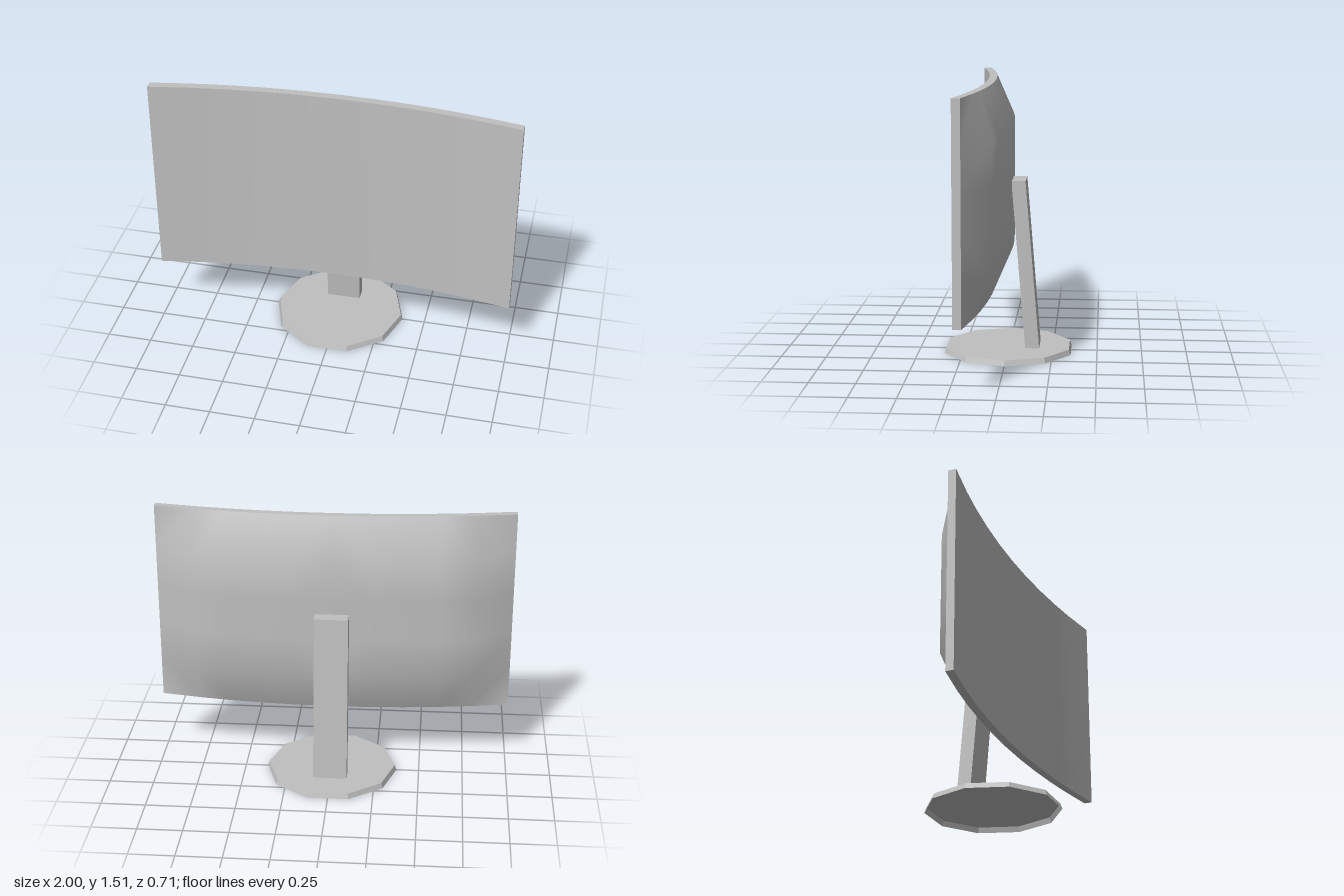
import * as THREE from 'three';

const grey = new THREE.MeshStandardMaterial({ color: 0xc0c0c0, side: THREE.DoubleSide });
grey.name = 'grey plastic';

const xs = [-1, -0.77, -0.6, -0.4, -0.2, 0, 0.2, 0.4, 0.6, 0.77, 1];
const ys = [0.36, 0.59, 0.82, 1.05, 1.285, 1.515];
const curve = x => 0.12 + 0.096 * x * x; // depth of the screen face across its width
const RIM = 0.045, BULGE = 0.1;

function mesh(name, geometry) {
  const m = new THREE.Mesh(geometry, grey);
  m.name = name;
  return m;
}

function build(points, index) {
  const g = new THREE.BufferGeometry();
  g.setAttribute('position', new THREE.Float32BufferAttribute(points.flat(), 3));
  g.setIndex(index);
  g.computeVertexNormals();
  return g;
}

// A sheet over the columns and rows; corner cells are cut across the corner
function sheet(us, vs, depth, back) {
  const points = [], index = [], nx = us.length, ny = vs.length;
  vs.forEach((y, j) => us.forEach((x, i) => {
    const edge = i === 0 || j === 0 || i === nx - 1 || j === ny - 1;
    points.push([x, y, depth(x, edge)]);
  }));
  for (let j = 0; j < ny - 1; j++) {
    for (let i = 0; i < nx - 1; i++) {
      const a = j * nx + i, b = a + 1, d = a + nx, c = d + 1;
      const sameSide = (i < nx / 2 - 1) === (j < ny / 2 - 1);
      const tris = sameSide ? [[a, b, d], [b, c, d]] : [[a, b, c], [a, c, d]];
      tris.forEach(([p, q, r]) => index.push(...(back ? [p, r, q] : [p, q, r])));
    }
  }
  return build(points, index);
}

// A strip of the rim along a list of [x, y] points
function rimStrip(path) {
  const points = [], index = [];
  path.forEach(([x, y], i) => {
    points.push([x, y, curve(x)], [x, y, curve(x) - RIM]);
    const k = i * 2;
    if (i) index.push(k - 2, k - 1, k, k, k - 1, k + 1);
  });
  return build(points, index);
}

function createModel() {
  const model = new THREE.Group();
  model.name = 'curvedMonitor';

  // Display: curved face, bulged back and four rim strips
  const display = new THREE.Group();
  display.name = 'display';
  display.add(mesh('screen', sheet(xs, [ys[0], ys[5]], x => curve(x), false)));
  display.add(mesh('backShell', sheet(xs, ys, (x, edge) => curve(x) - RIM - (edge ? 0 : BULGE), true)));
  const right = [...xs].reverse();
  display.add(mesh('topRim', rimStrip(right.map(x => [x, ys[5]]))));
  display.add(mesh('bottomRim', rimStrip(xs.map(x => [x, ys[0]]))));
  display.add(mesh('leftRim', rimStrip([[1, ys[0]], [1, ys[5]]])));
  display.add(mesh('rightRim', rimStrip([[-1, ys[5]], [-1, ys[0]]])));
  model.add(display);

  // Leaning post: an upright box sheared forward
  const H = 0.945;
  const post = new THREE.BoxGeometry(0.19, H, 0.078);
  post.translate(0, H / 2 + 0.03, -0.138);
  const p = post.attributes.position;
  for (let i = 0; i < p.count; i++) p.setZ(i, p.getZ(i) + 0.078 * (p.getY(i) - 0.03) / H);
  post.computeVertexNormals();
  model.add(mesh('standPost', post));

  // Ten-sided foot, hollow underneath
  const profile = [[0.372, 0], [0.362, 0.03], [0, 0.03]].map(([r, y]) => new THREE.Vector2(r, y));
  const foot = new THREE.LatheGeometry(profile, 10).toNonIndexed();
  foot.rotateY(Math.PI / 2);
  foot.computeVertexNormals();
  model.add(mesh('standFoot', foot));

  return model;
}

export { createModel };
